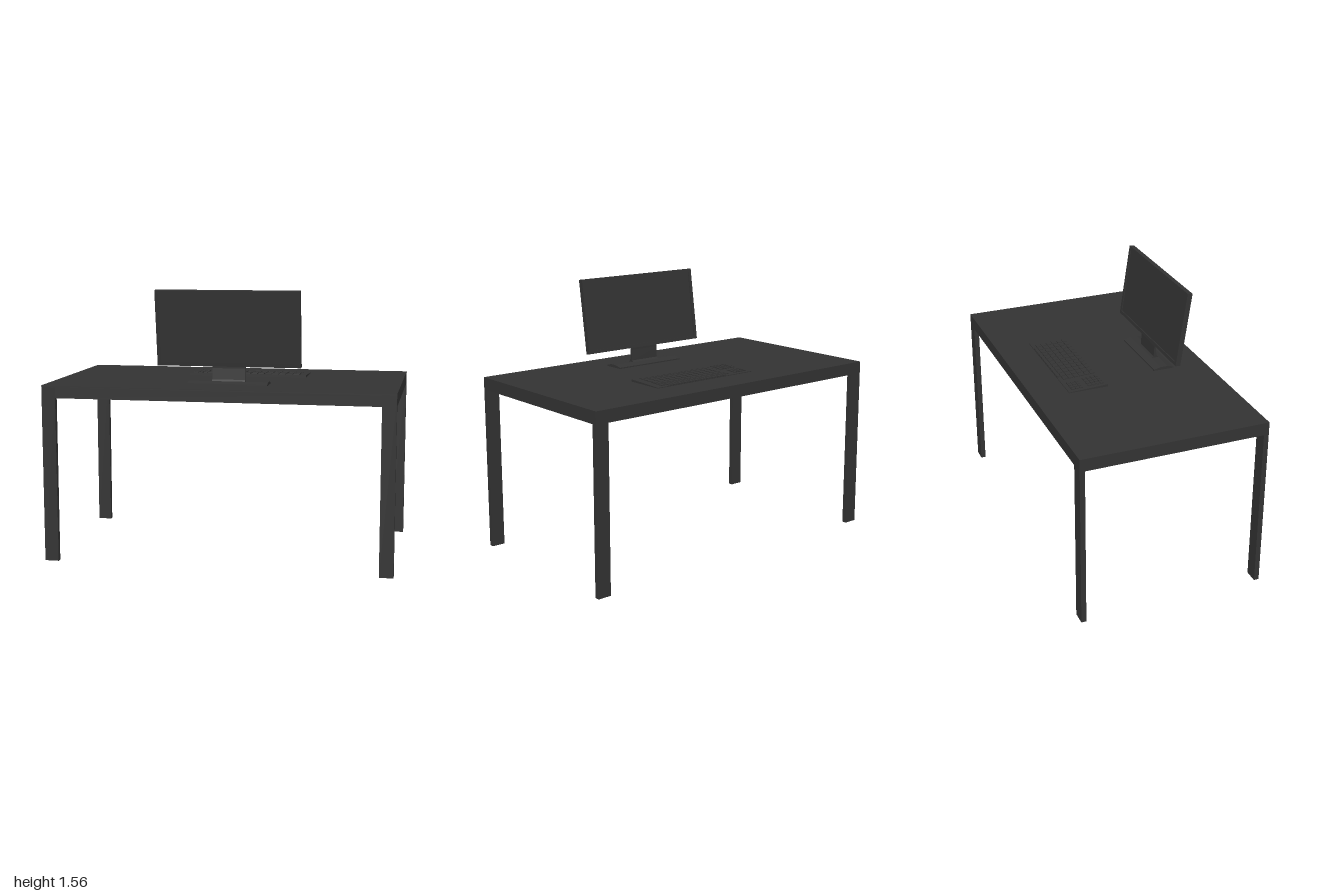
import * as THREE from 'three';

const dark = new THREE.MeshStandardMaterial({ color: 0x333333 });

function add(parent, name, geometry) {
  const mesh = new THREE.Mesh(geometry, dark);
  mesh.name = name;
  parent.add(mesh);
  return mesh;
}

// box given by its minimum and maximum corners
function box(parent, name, [x0, y0, z0], [x1, y1, z1]) {
  const mesh = add(parent, name, new THREE.BoxGeometry(x1 - x0, y1 - y0, z1 - z0));
  mesh.position.set((x0 + x1) / 2, (y0 + y1) / 2, (z0 + z1) / 2);
  return mesh;
}

// side profile of [z, y] points swept from x0 to x1
function sweepX(parent, name, points, x0, x1) {
  const shape = new THREE.Shape(points.map(([z, y]) => new THREE.Vector2(-z, y)));
  const geometry = new THREE.ExtrudeGeometry(shape, { depth: x1 - x0, bevelEnabled: false });
  geometry.rotateY(Math.PI / 2).translate(x0, 0, 0);
  return add(parent, name, geometry);
}

function rect(path, w, h) {
  path.moveTo(-w / 2, -h / 2);
  path.lineTo(w / 2, -h / 2);
  path.lineTo(w / 2, h / 2);
  path.lineTo(-w / 2, h / 2);
  path.closePath();
  return path;
}

function createDesk() {
  const desk = new THREE.Group();
  desk.name = 'desk';
  box(desk, 'tableTop', [-1, 1.01, -0.542], [1, 1.02, 0.542]);
  for (const s of [-1, 1]) {
    // flat legs at the corners
    for (const t of [-1, 1]) {
      const leg = add(desk, 'leg', new THREE.BoxGeometry(0.08, 1.01, 0.029));
      leg.position.set(s * 0.96, 0.505, t * 0.5275);
    }
    // rails between the legs
    const longRail = add(desk, 'longRail', new THREE.BoxGeometry(1.84, 0.062, 0.029));
    longRail.position.set(0, 0.979, s * 0.5275);
    const endRail = add(desk, 'endRail', new THREE.BoxGeometry(0.029, 0.062, 1.026));
    endRail.position.set(s * 0.9855, 0.979, 0);
  }
  return desk;
}

function createMonitor() {
  const monitor = new THREE.Group();
  monitor.name = 'monitor';
  const cx = 0.033;

  // foot with a gently sloped top, and a neck that narrows upward
  sweepX(monitor, 'foot', [[0.22, 1.02], [0.22, 1.027], [0.265, 1.037],
    [0.305, 1.037], [0.345, 1.027], [0.345, 1.02]], cx - 0.23, cx + 0.23);
  sweepX(monitor, 'neck', [[0.265, 1.036], [0.276, 1.046], [0.28, 1.11], [0.28, 1.15],
    [0.292, 1.15], [0.29, 1.11], [0.294, 1.046], [0.305, 1.036]], cx - 0.096, cx + 0.096);

  // tilted panel: bezel frame around a recessed screen
  const panel = new THREE.Group();
  panel.name = 'panel';
  const w = 0.83, h = 0.436, rim = 0.02;
  const frame = rect(new THREE.Shape(), w, h);
  frame.holes.push(rect(new THREE.Path(), w - 2 * rim, h - 2 * rim));
  add(panel, 'bezel', new THREE.ExtrudeGeometry(frame, { depth: 0.03, bevelEnabled: false }))
    .position.z = -0.015;
  box(panel, 'screen', [-w / 2 + rim, -h / 2 + rim, -0.009], [w / 2 - rim, h / 2 - rim, 0.015]);
  panel.position.set(cx, 1.338, 0.315);
  panel.rotation.x = 0.143;
  monitor.add(panel);
  return monitor;
}

function createKeyboard() {
  const keyboard = new THREE.Group();
  keyboard.name = 'keyboard';
  const zBack = -0.1, zFront = -0.335;
  const yBack = 1.034, yFront = 1.024;
  const slope = (yBack - yFront) / (zBack - zFront);

  sweepX(keyboard, 'keyboardBody', [[zBack, 1.02], [zBack, yBack], [zFront, yFront], [zFront, 1.02]],
    -0.283, 0.425);

  function key(name, x0, x1, z0, z1) {
    const z = (z0 + z1) / 2;
    const mesh = add(keyboard, name, new THREE.BoxGeometry(x1 - x0, 0.008, z1 - z0));
    mesh.position.set((x0 + x1) / 2, yFront + slope * (z - zFront) + 0.001, z);
    mesh.rotation.x = -Math.atan(slope);
  }

  // evenly spaced keys filling a rectangle
  function keyBlock(name, x0, x1, z0, z1, columns, rows, gap = 0.007) {
    const dx = (x1 - x0) / columns, dz = (z1 - z0) / rows;
    for (let i = 0; i < columns; i++) {
      for (let j = 0; j < rows; j++) {
        const x = x0 + i * dx, z = z0 + j * dz;
        key(name, x + gap / 2, x + dx - gap / 2, z + gap / 2, z + dz - gap / 2);
      }
    }
  }

  keyBlock('mainKey', -0.125, 0.385, -0.315, -0.115, 12, 6);
  keyBlock('arrowKey', -0.265, -0.165, -0.315, -0.24, 4, 3);
  keyBlock('numberKey', -0.265, -0.145, -0.215, -0.115, 4, 4);
  key('spaceBar', -0.08, 0.34, -0.333, -0.318);
  return keyboard;
}

export function createModel() {
  const model = new THREE.Group();
  model.name = 'computerDesk';
  model.add(createDesk(), createMonitor(), createKeyboard());
  return model;
}
